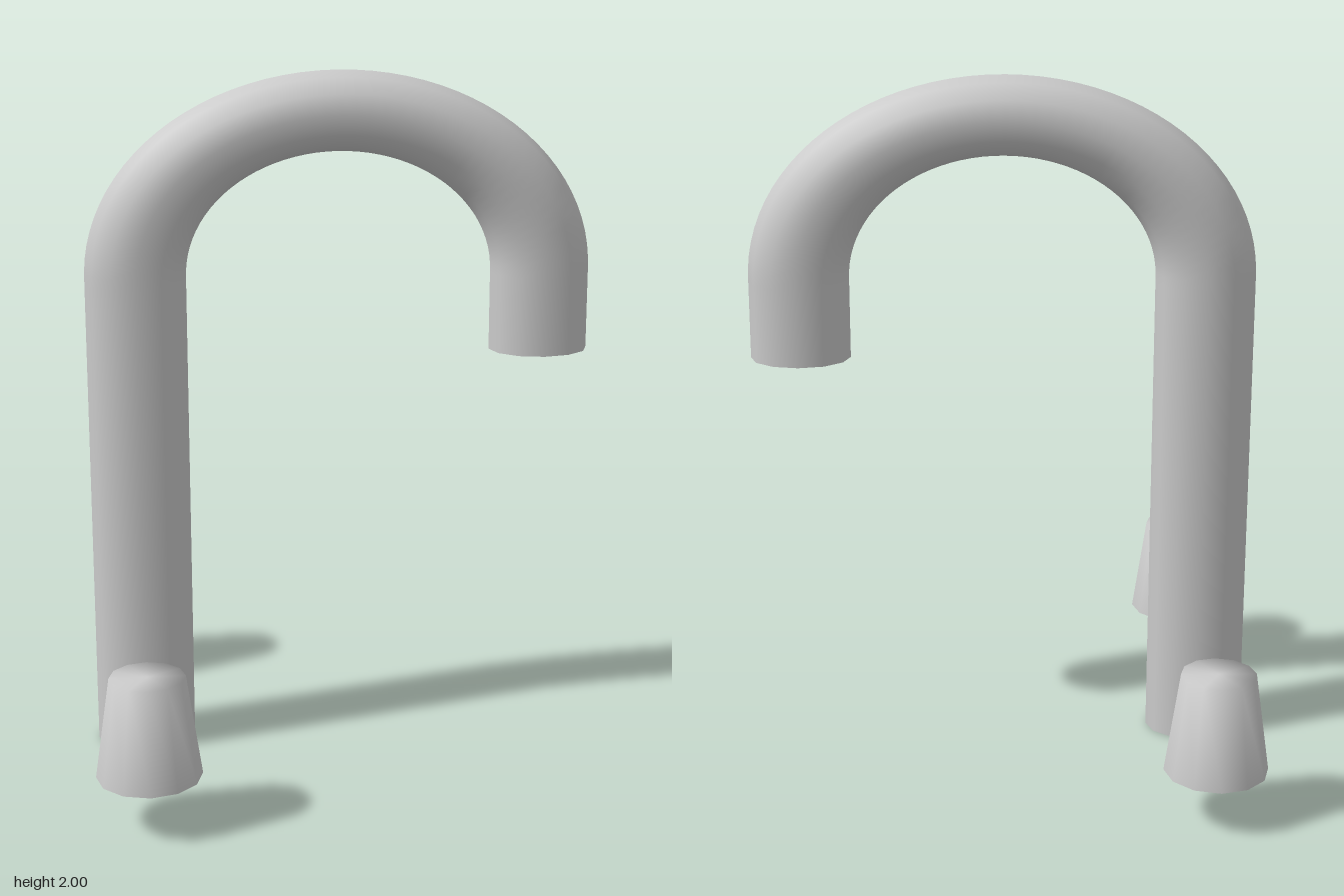
import * as THREE from 'three';

const material = new THREE.MeshStandardMaterial({ color: 0xcccccc, side: THREE.DoubleSide });

// Semicircular bend, running over the top from -x to +x
class Bend extends THREE.Curve {
  constructor(radius, centreY) {
    super();
    this.radius = radius;
    this.centreY = centreY;
  }
  getPoint(t, target = new THREE.Vector3()) {
    const a = Math.PI * (1 - t);
    return target.set(this.radius * Math.cos(a), this.centreY + this.radius * Math.sin(a), 0);
  }
}

// Open-ended hooked pipe: upright, bend and short outlet, widened along x
function makeSpout() {
  const r = 0.465, bendY = 1.42, outletY = 1.18;
  const path = new THREE.CurvePath();
  path.add(new THREE.LineCurve3(new THREE.Vector3(-r, 0, 0), new THREE.Vector3(-r, bendY, 0)));
  path.add(new Bend(r, bendY));
  path.add(new THREE.LineCurve3(new THREE.Vector3(r, bendY, 0), new THREE.Vector3(r, outletY, 0)));
  const geometry = new THREE.TubeGeometry(path, 96, 0.115, 12, false);
  geometry.scale(1.26, 1, 1);
  const spout = new THREE.Mesh(geometry, material);
  spout.name = 'spout';
  return spout;
}

// Tapered tap handle with a softly shaded flat top and open base
function makeHandle(name, z) {
  const profile = [[0.147, 0], [0.105, 0.29], [0, 0.29]].map(([x, y]) => new THREE.Vector2(x, y));
  const handle = new THREE.Mesh(new THREE.LatheGeometry(profile, 12), material);
  handle.name = name;
  handle.position.set(-0.588, 0.145, z);
  return handle;
}

export function createModel() {
  const model = new THREE.Group();
  model.name = 'tap';
  model.add(makeSpout(), makeHandle('frontHandle', 0.588), makeHandle('backHandle', -0.588));
  return model;
}
